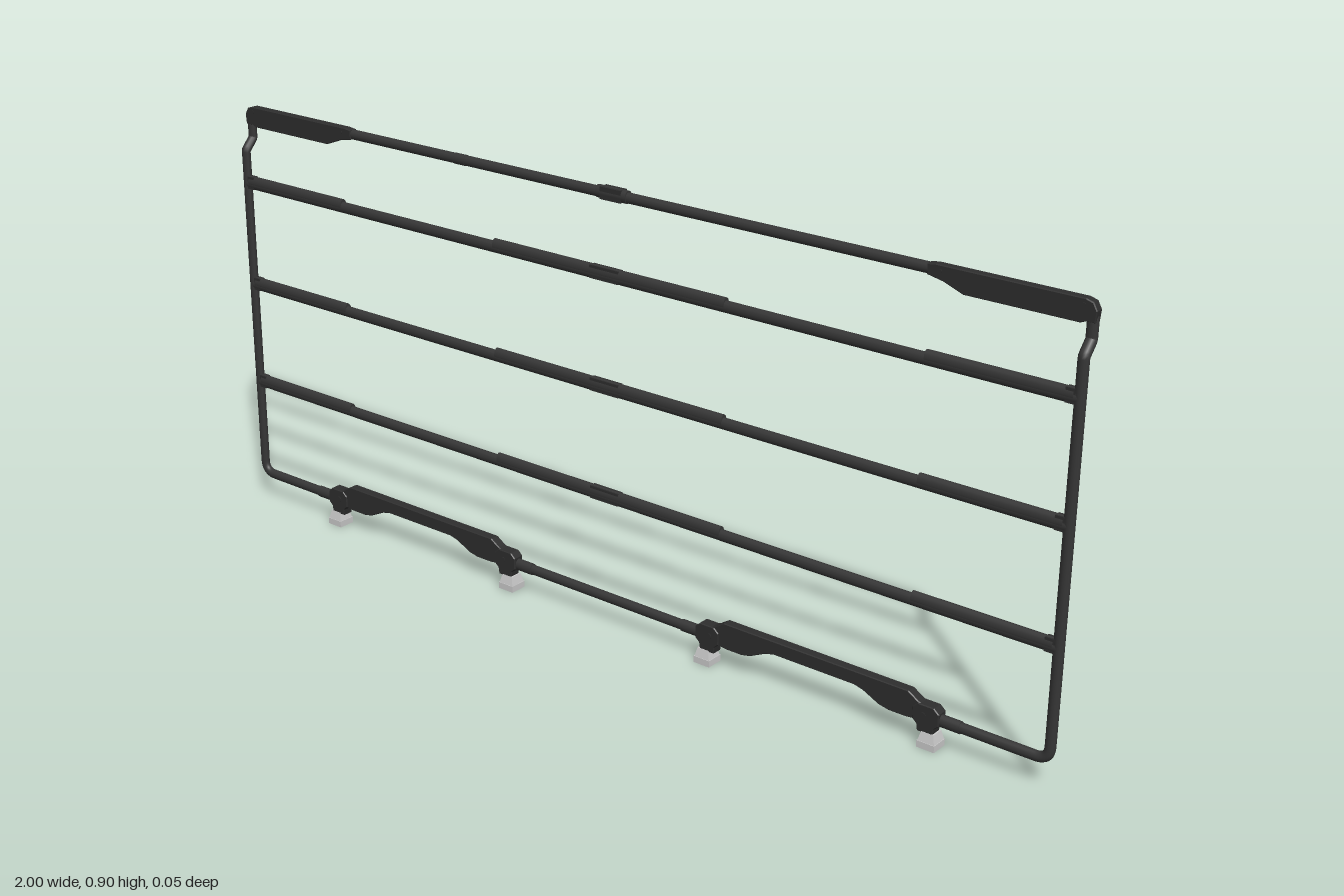
import * as THREE from 'three';

const dark = new THREE.MeshStandardMaterial({ color: 0x2e2e2e });
const tubing = new THREE.MeshStandardMaterial({ color: 0x363636 });
const grey = new THREE.MeshStandardMaterial({ color: 0xcccccc });
const Z = 0.0075;     // plane of the main frame
const ZT = -0.014;    // plane of the stepped-back top rail
const BOTTOM = 0.059, TOP = 0.8825;
const FLAT = 0.8;     // depth of the oval tubing relative to its width

export function createModel() {
  const root = new THREE.Group();

  function add(parent, name, geo, x = 0, y = 0, z = 0, mat = dark) {
    const m = new THREE.Mesh(geo, mat);
    m.name = name;
    m.position.set(x, y, z);
    parent.add(m);
    return m;
  }

  // Round bar along x, with an oval section
  function bar(parent, name, x0, x1, y, z, ry, rz) {
    const g = new THREE.CylinderGeometry(1, 1, x1 - x0, 16).rotateZ(Math.PI / 2);
    g.scale(1, ry, rz);
    return add(parent, name, g, (x0 + x1) / 2, y, z, tubing);
  }

  // Flat plate cut from an outline in x and y
  function plate(parent, name, points, depth, x, y, z) {
    const shape = new THREE.Shape(points.map(p => new THREE.Vector2(...p)));
    const g = new THREE.ExtrudeGeometry(shape, {
      depth: depth - 0.004, bevelThickness: 0.002, bevelSize: 0.0015, bevelSegments: 1,
    }).translate(0, 0, -depth / 2 + 0.002);
    return add(parent, name, g, x, y, z);
  }

  // Polyline with rounded corners
  function roundedPath(points, radius) {
    const p = points.map(a => new THREE.Vector3(...a));
    const path = new THREE.CurvePath();
    let last = p[0];
    for (let i = 1; i < p.length - 1; i++) {
      const toward = q => p[i].clone().add(q.clone().sub(p[i]).setLength(radius[i]));
      const a = toward(p[i - 1]), b = toward(p[i + 1]);
      path.add(new THREE.LineCurve3(last, a));
      path.add(new THREE.QuadraticBezierCurve3(a, p[i], b));
      last = b;
    }
    path.add(new THREE.LineCurve3(last, p[p.length - 1]));
    return path;
  }

  // Side posts of oval tube with bent corners and the step near the top
  for (const s of [-1, 1]) {
    const z = Z / FLAT, zt = ZT / FLAT;
    const path = roundedPath([
      [s * 0.92, BOTTOM, z], [s * 0.9895, BOTTOM, z], [s * 0.9895, 0.802, z],
      [s * 0.9895, 0.825, zt], [s * 0.9895, TOP, zt], [s * 0.92, TOP, zt],
    ], [0, 0.028, 0.004, 0.004, 0.026, 0]);
    const tube = new THREE.TubeGeometry(path, 240, 0.0105, 12).scale(1, 1, FLAT);
    add(root, 'sidePost', tube, 0, 0, 0, tubing);

    // Deep end plate of the top rail
    const outline = [[0.685, 0.874], [0.715, 0.868], [0.755, 0.853], [0.97, 0.853], [0.98, 0.857],
      [0.996, 0.857], [0.998, 0.876], [0.991, 0.889], [0.978, 0.893], [0.7, 0.893], [0.685, 0.891]];
    const pts = outline.map(([x, y]) => [s * x, y]);
    plate(root, 'topEndPlate', s > 0 ? pts : pts.reverse(), 0.018, 0, 0, ZT);
    for (const x of [0.71, 0.975]) {
      add(root, 'plateBolt', new THREE.CylinderGeometry(0.0035, 0.0035, 0.02, 8).rotateX(Math.PI / 2),
        s * x, 0.884, ZT);
    }
  }

  // Top rail, centre coupling and catch
  bar(root, 'topRail', -0.95, 0.95, TOP, ZT, 0.0105, 0.0085);
  bar(root, 'topCoupling', -0.036, 0.036, TOP + 0.001, ZT, 0.0128, 0.0105);
  add(root, 'couplingBlock', new THREE.BoxGeometry(0.05, 0.024, 0.02), 0, TOP + 0.001, ZT);
  bar(root, 'topCatch', -0.4, -0.37, TOP, ZT, 0.0112, 0.009);

  // Three cross rails with end and centre sleeves
  for (const y of [0.73, 0.503, 0.277]) {
    bar(root, 'crossRail', -0.99, 0.99, y, Z, 0.0118, 0.0082);
    bar(root, 'centreSleeve', -0.28, 0.28, y + 0.004, Z, 0.0135, 0.0086);
    add(root, 'centreCoupling', new THREE.BoxGeometry(0.07, 0.026, 0.0145), 0, y + 0.003, Z);
    for (const s of [-1, 1]) {
      bar(root, 'endSleeve', s * 0.84 - 0.14, s * 0.84 + 0.14, y + 0.004, Z, 0.0135, 0.0086);
      add(root, 'postCollar', new THREE.BoxGeometry(0.018, 0.027, 0.014), s * 0.974, y + 0.003, Z);
    }
  }

  // Bottom rail in three lengths, interrupted by the brackets
  for (const [x0, x1] of [[-0.95, -0.74], [-0.265, 0.265], [0.74, 0.95]]) {
    bar(root, 'bottomRail', x0, x1, BOTTOM, Z, 0.0106, 0.0085);
  }

  // Mounting brackets, each with two clamps and feet
  for (const s of [-1, 1]) {
    const bracket = new THREE.Group();
    bracket.name = 'mountingBracket';
    bracket.position.x = s * 0.503;
    root.add(bracket);

    const half = [[0.09, 0.074], [0.11, 0.069], [0.145, 0.052], [0.165, 0.048], [0.2, 0.048],
      [0.24, 0.053], [0.24, 0.08], [0.225, 0.086], [0.205, 0.099]];
    const mirrored = half.map(([x, y]) => [-x, y]).reverse();
    plate(bracket, 'bracketPlate', [...half, ...mirrored], 0.021, 0, 0, Z);

    for (const e of [-1, 1]) {
      const clamp = new THREE.Group();
      clamp.name = 'clamp';
      clamp.position.set(e * 0.251, 0, Z);
      bracket.add(clamp);
      // Clamp body, wide around the rail and narrow above the foot
      plate(clamp, 'clampBody', [[-0.015, 0.03], [0.015, 0.03], [0.017, 0.043], [0.026, 0.051],
        [0.026, 0.074], [0.016, 0.083], [-0.016, 0.083], [-0.026, 0.074], [-0.026, 0.051],
        [-0.017, 0.043]], 0.025, -e * 0.007, 0, 0);
      bar(clamp, 'railCollar', e * 0.038 - 0.022, e * 0.038 + 0.022, BOTTOM, 0, 0.0125, 0.0095);
      add(clamp, 'clampBolt', new THREE.CylinderGeometry(0.006, 0.006, 0.027, 10).rotateX(Math.PI / 2),
        -e * 0.012, 0.064, 0);
      // Tapered foot on a wide pad
      const taper = new THREE.CylinderGeometry(0.0185, 0.0245, 0.018, 4, 1).rotateY(Math.PI / 4).toNonIndexed();
      taper.computeVertexNormals();
      add(clamp, 'foot', taper, 0, 0.0225, 0, grey);
      add(clamp, 'footPad', new THREE.BoxGeometry(0.037, 0.0135, 0.037), 0, 0.00675, 0, grey);
    }
  }
  return root;
}
